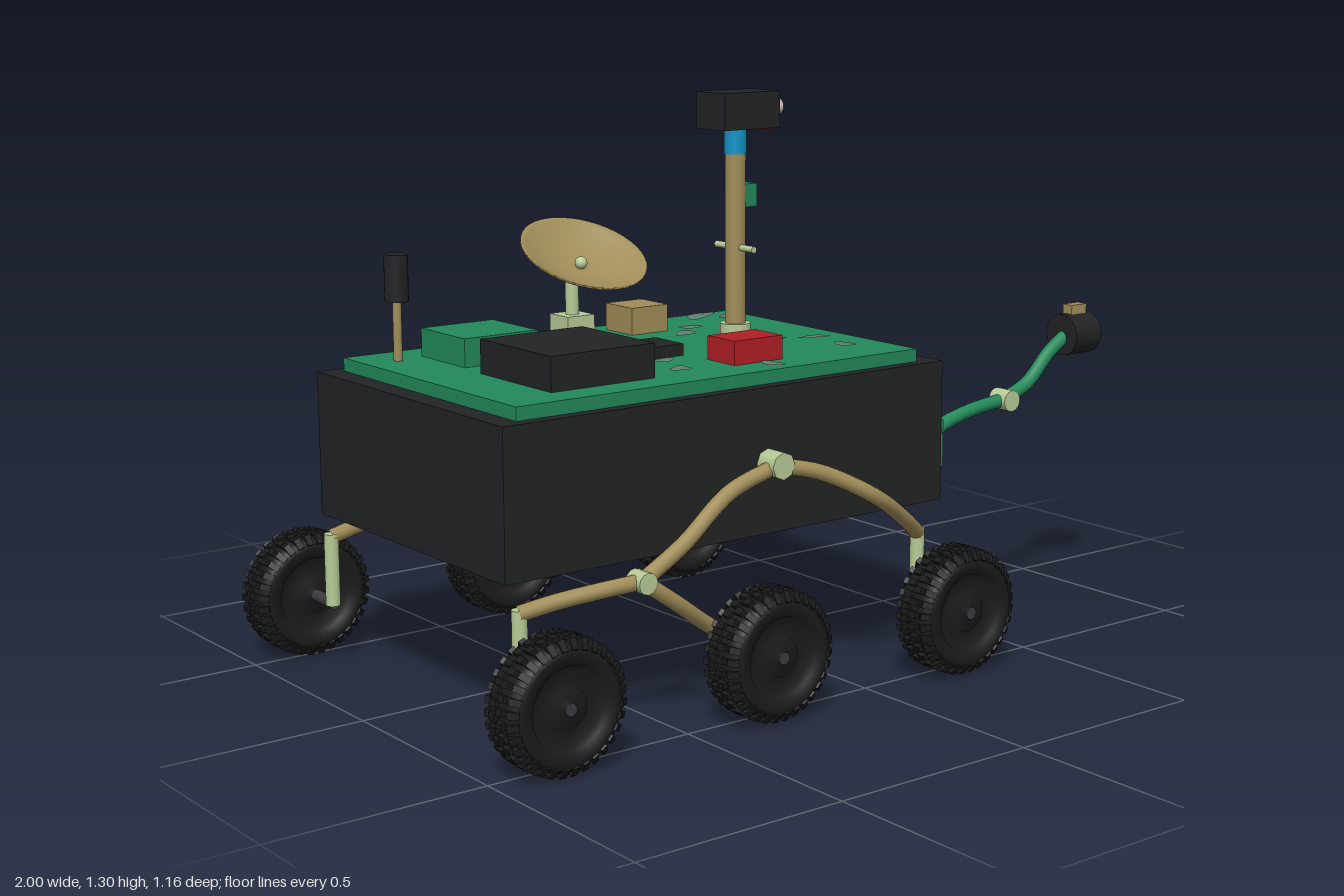
import * as THREE from 'three';
import { mergeGeometries } from 'three/addons/utils/BufferGeometryUtils.js';

const mat = (name, color, extra = {}) => {
  const m = new THREE.MeshStandardMaterial({ color, ...extra });
  m.name = name;
  return m;
};

export function createModel() {
  const black = mat('black', 0x222324);
  const rubber = mat('rubber', 0x1b1b1b);
  const green = mat('green', 0x22895a);
  const patchGrey = mat('patch grey', 0x5f8270);
  const tan = mat('tan', 0xa18d59);
  const pale = mat('pale green', 0xb9cc98);
  const red = mat('red', 0xb01f24);
  const blue = mat('blue', 0x1292c6);
  const beige = mat('beige', 0xcfc5b5);
  const steel = mat('steel', 0x3d3b40);

  const model = new THREE.Group();
  model.name = 'rover';

  const add = (name, geo, material, pos = [0, 0, 0], parent = model) => {
    const m = new THREE.Mesh(geo, material);
    m.name = name;
    m.position.set(...pos);
    parent.add(m);
    return m;
  };
  // Box given by its extents on each axis
  const box = (name, material, [x0, x1], [y0, y1], [z0, z1]) =>
    add(name, new THREE.BoxGeometry(x1 - x0, y1 - y0, z1 - z0), material,
      [(x0 + x1) / 2, (y0 + y1) / 2, (z0 + z1) / 2]);
  // Cylinder centred at pos along a chosen axis
  const cyl = (name, material, r, len, pos, axis = 'y', seg = 24) => {
    const g = new THREE.CylinderGeometry(r, r, len, seg);
    if (axis === 'x') g.rotateZ(-Math.PI / 2);
    if (axis === 'z') g.rotateX(Math.PI / 2);
    return add(name, g, material, pos);
  };
  const tube = (name, material, r, pts) => {
    const curve = new THREE.CatmullRomCurve3(pts.map(p => new THREE.Vector3(...p)));
    return add(name, new THREE.TubeGeometry(curve, 28, r, 12), material);
  };

  // Chassis and deck
  box('body', black, [-0.877, 0.33], [0.37, 0.7], [-0.385, 0.385]);
  box('deck', green, [-0.825, 0.275], [0.7, 0.73], [-0.356, 0.356]);

  // Worn patches on the deck: x, z, half length, half width, turn
  const patches = [
    [0.16, -0.32, 0.06, 0.025, 0.5], [0.22, -0.27, 0.03, 0.03, 0], [-0.5, -0.32, 0.03, 0.02, 0.3],
    [-0.28, 0.12, 0.035, 0.02, 0.2], [-0.31, 0.225, 0.03, 0.022, 0.6], [-0.11, 0.3, 0.02, 0.035, 0],
    [0.08, 0.06, 0.045, 0.018, 0.1], [0.19, 0.09, 0.04, 0.016, -0.2], [0.02, 0.06, 0.03, 0.015, 0.4],
    [-0.02, -0.14, 0.04, 0.022, 0.7], [0.04, -0.2, 0.03, 0.02, -0.4], [0.18, 0.21, 0.02, 0.03, 0],
  ];
  for (const [x, z, a, b, turn] of patches) {
    const pts = [];
    for (let i = 0; i < 20; i++) {
      const t = i / 20 * Math.PI * 2, k = 1 + 0.18 * Math.sin(3 * t + x * 20);
      pts.push(new THREE.Vector2(a * k * Math.cos(t), b * k * Math.sin(t)));
    }
    const g = new THREE.ShapeGeometry(new THREE.Shape(pts));
    g.rotateX(-Math.PI / 2).rotateY(turn);
    add('deckPatch', g, patchGrey, [x, 0.732, z]);
  }

  // Equipment on the deck
  box('largeBlackBox', black, [-0.685, -0.415], [0.73, 0.807], [0, 0.275]);
  box('smallBlackBox', black, [-0.37, -0.2], [0.73, 0.757], [-0.015, 0.092]);
  box('redBox', red, [-0.19, -0.053], [0.73, 0.785], [0.168, 0.267]);
  box('greenBox', green, [-0.675, -0.483], [0.73, 0.795], [-0.265, -0.08]);
  box('tanBox', tan, [-0.135, -0.03], [0.73, 0.795], [-0.305, -0.198]);
  cyl('antennaRod', tan, 0.01, 0.15, [-0.745, 0.8, -0.25]);
  cyl('antennaCap', black, 0.027, 0.106, [-0.745, 0.918, -0.25]);

  // Dish antenna, tipped towards the front
  box('dishBase', pale, [-0.313, -0.237], [0.73, 0.79], [-0.283, -0.207]);
  cyl('dishPost', pale, 0.016, 0.12, [-0.275, 0.845, -0.245]);
  const dish = new THREE.Group();
  dish.name = 'dish';
  dish.position.set(-0.275, 0.905, -0.211);
  dish.rotation.x = 0.46;
  model.add(dish);
  const bowl = [], R = 0.152, depth = 0.042;
  for (let i = 0; i <= 10; i++) bowl.push(new THREE.Vector2(R * i / 10, depth * (i / 10) ** 2 - 0.006));
  for (let i = 10; i >= 0; i--) bowl.push(new THREE.Vector2(R * i / 10, depth * (i / 10) ** 2));
  add('dishBowl', new THREE.LatheGeometry(bowl, 40), tan, [0, 0, 0], dish);
  add('dishFeed', new THREE.SphereGeometry(0.015, 16, 12), pale, [0, 0.012, 0], dish);

  // Mast and camera head
  const mx = 0.085, mz = -0.08;
  cyl('mastFlange', pale, 0.037, 0.025, [mx, 0.742, mz]);
  cyl('mast', tan, 0.025, 0.43, [mx, 0.945, mz]);
  cyl('mastCollar', blue, 0.027, 0.06, [mx, 1.19, mz]);
  cyl('mastCrossbar', pale, 0.008, 0.144, [mx, 0.937, mz], 'z', 12);
  box('mastBox', green, [0.1, 0.135], [1.033, 1.088], [-0.1, -0.06]);
  box('cameraHead', black, [0.012, 0.178], [1.22, 1.307], [-0.137, -0.027]);
  box('cameraRedBar', red, [0.15, 0.184], [1.215, 1.235], [-0.102, -0.06]);
  for (const z of [-0.047, -0.116]) cyl('cameraLens', beige, 0.019, 0.014, [0.183, 1.269, z], 'x', 16);

  // Square cameras on the end of the body
  for (const z of [0.139, -0.136]) box('bodyCamera', beige, [0.325, 0.35], [0.42, 0.46], [z - 0.025, z + 0.025]);

  // Tool arm
  box('armBase', green, [0.33, 0.425], [0.42, 0.533], [0.205, 0.291]);
  cyl('armShoulder', blue, 0.02, 0.09, [0.409, 0.464, 0.248]);
  tube('armLower', green, 0.017, [[0.41, 0.485, 0.248], [0.48, 0.515, 0.248], [0.57, 0.535, 0.248], [0.67, 0.545, 0.248]]);
  tube('armUpper', green, 0.017, [[0.67, 0.545, 0.248], [0.75, 0.58, 0.248], [0.82, 0.645, 0.248], [0.89, 0.69, 0.248]]);
  cyl('armElbow', pale, 0.026, 0.055, [0.67, 0.545, 0.248], 'z');
  cyl('toolHead', black, 0.052, 0.088, [0.91, 0.686, 0.248], 'x', 32);
  cyl('toolTip', steel, 0.012, 0.045, [0.977, 0.686, 0.248], 'x', 16);
  box('toolBox', tan, [0.884, 0.936], [0.73, 0.76], [0.233, 0.263]);

  // Tyre profile with a stepped hub on both faces, turned about z
  const half = [[0, 0.05], [0.016, 0.05], [0.02, 0.042], [0.045, 0.042], [0.048, 0.034], [0.085, 0.034],
    [0.09, 0.05], [0.115, 0.054], [0.13, 0.048], [0.138, 0.028]];
  const profile = [...half.map(([r, y]) => [r, -y]), ...half.slice().reverse()]
    .map(([r, y]) => new THREE.Vector2(r, y));
  const tyreGeo = new THREE.LatheGeometry(profile, 40).rotateX(Math.PI / 2);
  // Tread blocks: two staggered centre rows and a chamfered row on each shoulder
  const blocks = [];
  const knobs = 32;
  for (let i = 0; i < knobs; i++) {
    for (const side of [-1, 1]) {
      const centre = new THREE.BoxGeometry(0.015, 0.016, 0.022);
      centre.translate(0, 0.139, side * 0.013);
      const shoulder = new THREE.BoxGeometry(0.015, 0.014, 0.026);
      shoulder.rotateX(side * 0.95).translate(0, 0.131, side * 0.042);
      for (const g of [centre, shoulder]) {
        g.rotateZ((i + (side > 0 ? 0.5 : 0)) / knobs * Math.PI * 2);
        blocks.push(g);
      }
    }
  }
  const treadGeo = mergeGeometries(blocks);

  // Wheels and rocker suspension on both sides
  for (const s of [1, -1]) {
    const sideName = s > 0 ? 'front' : 'back';
    for (const x of [-0.85, -0.3, 0.25]) {
      add(sideName + 'Tyre', tyreGeo, rubber, [x, 0.152, s * 0.525]);
      add(sideName + 'Tread', treadGeo, rubber, [x, 0.152, s * 0.525]);
      cyl(sideName + 'Axle', steel, 0.014, 0.195, [x, 0.152, s * 0.482], 'z', 16);
      if (x !== -0.3) cyl(sideName + 'WheelStrut', pale, 0.017, 0.17, [x, 0.232, s * 0.394], 'y', 16);
    }
    const arm = (name, pts) => tube(sideName + name, tan, 0.018, pts.map(([x, y, z]) => [x, y, s * z]));
    arm('RockerLong', [[-0.19, 0.53, 0.415], [-0.08, 0.502, 0.44], [0.05, 0.435, 0.472], [0.16, 0.365, 0.44], [0.25, 0.305, 0.394]]);
    arm('RockerShort', [[-0.19, 0.53, 0.415], [-0.32, 0.488, 0.415], [-0.46, 0.4, 0.435], [-0.575, 0.34, 0.443]]);
    arm('BogieRear', [[-0.575, 0.34, 0.443], [-0.66, 0.335, 0.432], [-0.77, 0.322, 0.408], [-0.855, 0.308, 0.394]]);
    arm('BogieMiddle', [[-0.575, 0.34, 0.443], [-0.49, 0.28, 0.443], [-0.39, 0.21, 0.42], [-0.3, 0.152, 0.4]]);
    cyl(sideName + 'RockerPivot', pale, 0.031, 0.06, [-0.19, 0.532, s * 0.411], 'z', 8);
    cyl(sideName + 'BogiePivot', pale, 0.024, 0.05, [-0.577, 0.34, s * 0.444], 'z', 12);
  }

  return model;
}
